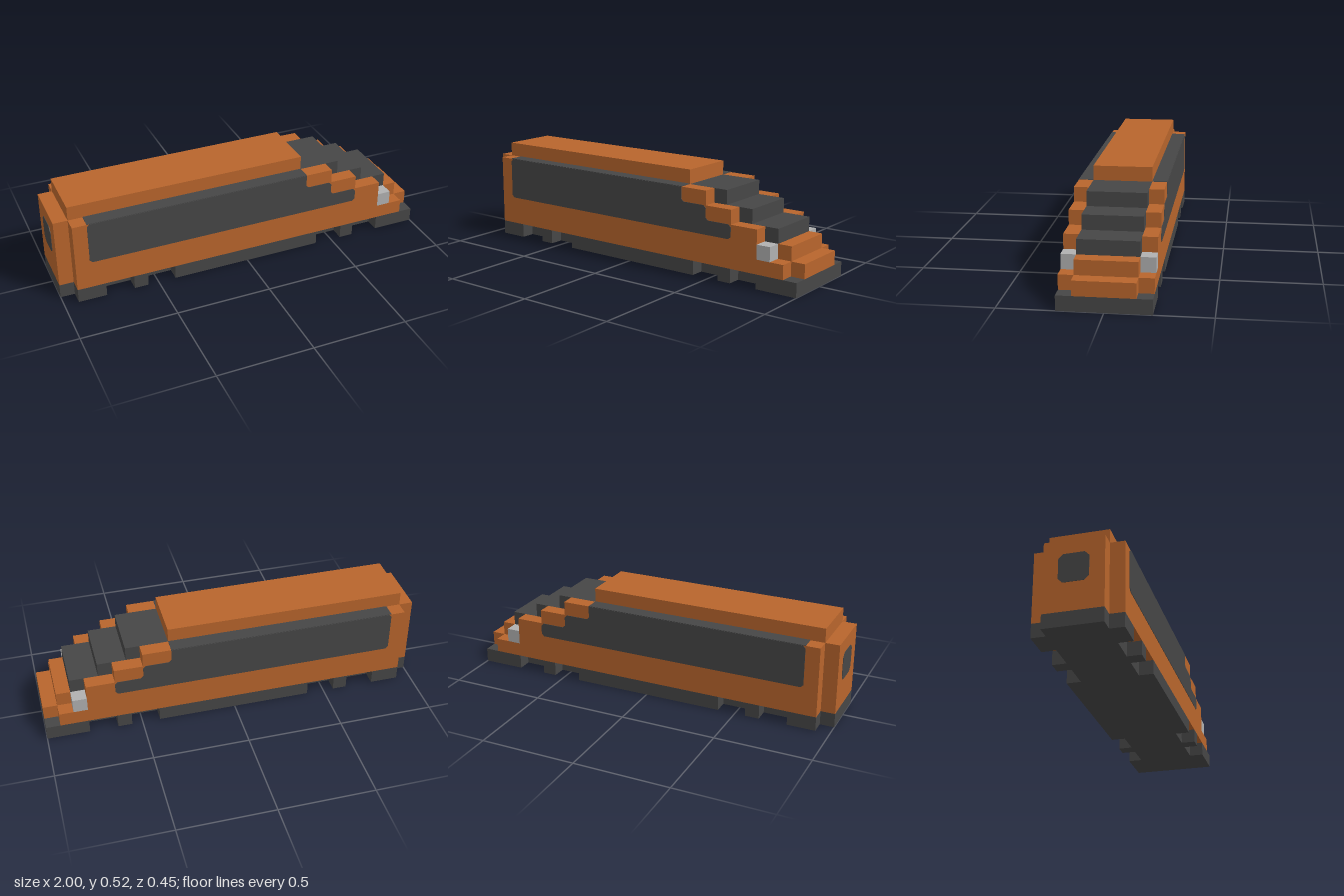
import * as THREE from 'three';

// All parts sit on a block grid: 27 long, 7 high, 6 wide
const U = 2 / 27;
const C = 0.18; // small corner cut, in blocks
const T = 0.03; // thickness of painted plates, in blocks

export function createModel() {
  const train = new THREE.Group();
  train.name = 'train';
  const mat = (name, color) => {
    const m = new THREE.MeshStandardMaterial({ color });
    m.name = name;
    return m;
  };
  const orange = mat('orange paint', 0xb8652c);
  const dark = mat('dark grey', 0x464646);
  const silver = mat('light grey', 0xb0b0b0);

  // Side profile in blocks [x, y], extruded from z0 to z1
  function profile(name, material, points, z0, z1) {
    const shape = new THREE.Shape(points.map(([x, y]) => new THREE.Vector2((x - 13.5) * U, y * U)));
    const geo = new THREE.ExtrudeGeometry(shape, { depth: (z1 - z0) * U, bevelEnabled: false });
    geo.translate(0, 0, z0 * U);
    const mesh = new THREE.Mesh(geo, material);
    mesh.name = name;
    train.add(mesh);
    return mesh;
  }
  const block = (name, material, x0, x1, y0, y1, z0, z1) =>
    profile(name, material, [[x0, y0], [x1, y0], [x1, y1], [x0, y1]], z0, z1);

  // Central body with roof and stepped nose
  profile('body', orange, [
    [0, 1], [27, 1], [27, 2], [26, 2], [26, 3], [18, 3],
    [18, 7], [1, 7], [1, 6], [0, 6],
  ], -2, 2);
  profile('windscreen', dark, [
    [18, 3], [25, 3], [25, 4], [23, 4], [23, 5], [21, 5], [21, 6], [18, 6],
  ], -2, 2);
  block('chassis', dark, 0, 27, 0, 1, -2, 2);

  // Both flanks
  const skirts = [[1, 3], [5, 6], [8, 19], [21, 22], [24, 27]];
  for (const s of [1, -1]) {
    const label = s > 0 ? 'left' : 'right';
    const span = (a, b) => (s > 0 ? [a, b] : [-b, -a]);

    profile(label + 'SidePanel', orange, [
      [1, 1], [26, 1], [26, 2], [24, 2], [24, 4], [22, 4],
      [22, 5], [20, 5], [20, 6], [1, 6],
    ], ...span(2, 3));

    // Window band with lightly cut corners, and its strip on the shoulder
    profile(label + 'Window', dark, [
      [2 + C, 3], [22 - C, 3], [22, 3 + C], [22, 4 - C], [22 - C, 4],
      [20 + C, 4], [20, 4 + C], [20, 5 - C], [20 - C, 5],
      [18 + C, 5], [18, 5 + C], [18, 6], [2 + C, 6], [2, 6 - C], [2, 3 + C],
    ], ...span(3, 3 + T));
    block(label + 'ShoulderStrip', dark, 2, 18, 6, 6 + T, ...span(2, 3));

    block(label + 'Headlight', silver, 24, 25, 2, 3, ...span(2, 3));
    skirts.forEach(([a, b], i) => block(label + 'Skirt' + (i + 1), dark, a, b, 0, 1, ...span(2, 3)));
  }

  // Rear window: square with cut corners on the back end
  const k = 0.3;
  const outline = [
    [-1 + k, 3], [1 - k, 3], [1, 3 + k], [1, 5 - k],
    [1 - k, 5], [-1 + k, 5], [-1, 5 - k], [-1, 3 + k],
  ].map(([z, y]) => new THREE.Vector2(z * U, y * U));
  const rear = new THREE.Mesh(
    new THREE.ExtrudeGeometry(new THREE.Shape(outline), { depth: T * U, bevelEnabled: false }), dark);
  rear.name = 'rearWindow';
  rear.rotation.y = -Math.PI / 2;
  rear.position.x = -1;
  train.add(rear);

  return train;
}
